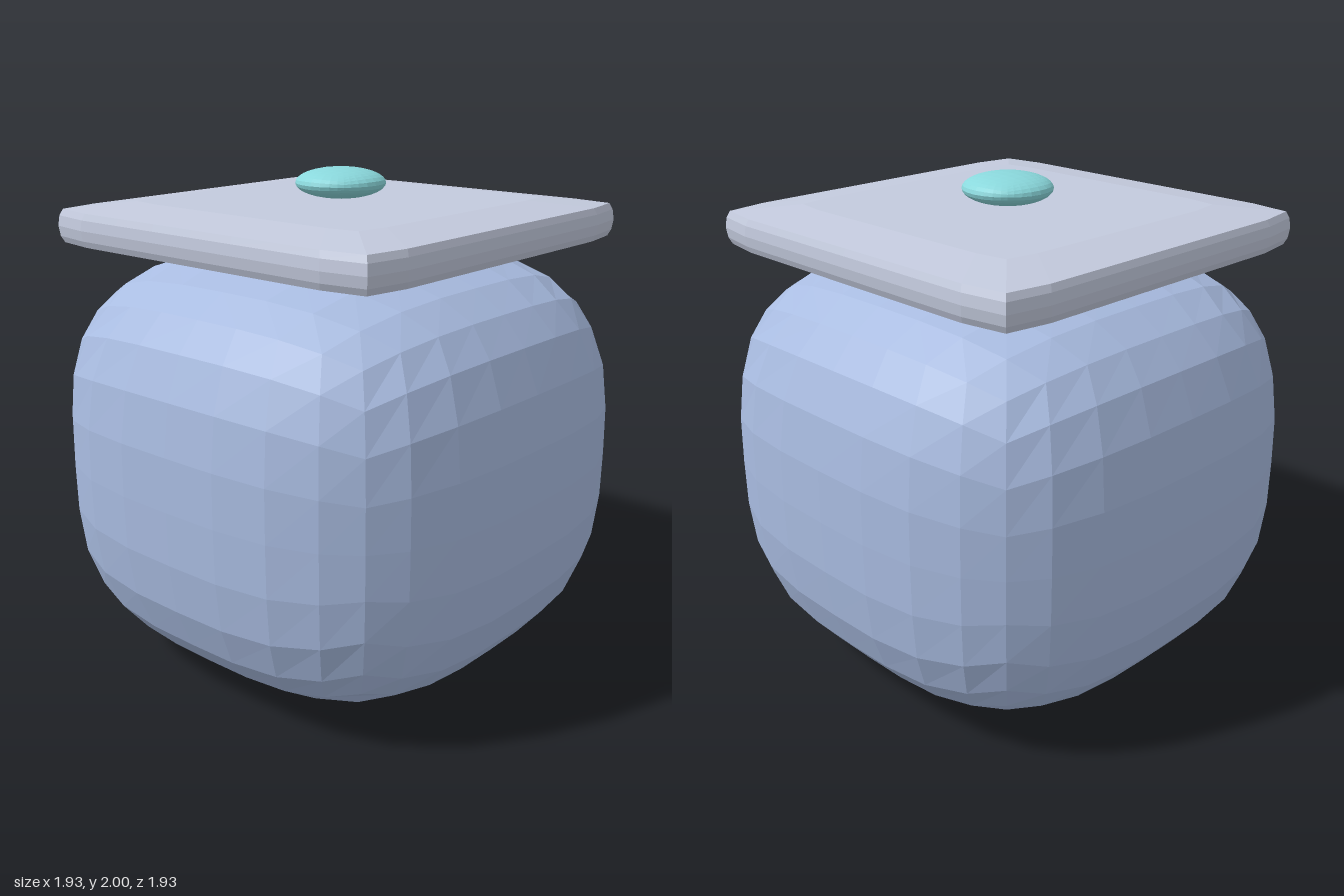
import * as THREE from 'three';

const flat = (name, hex) => {
  const m = new THREE.MeshStandardMaterial({ color: hex, flatShading: true });
  m.name = name;
  return m;
};

// Cube grid pulled onto a superellipsoid: power 2 is a ball, higher is boxier
function superellipsoid(rx, ry, rz, power, segments) {
  const geo = new THREE.BoxGeometry(2, 2, 2, segments, segments, segments);
  const p = geo.attributes.position;
  for (let i = 0; i < p.count; i++) {
    const v = [p.getX(i), p.getY(i), p.getZ(i)];
    const len = v.reduce((s, c) => s + Math.abs(c) ** power, 0) ** (1 / power);
    p.setXYZ(i, (v[0] / len) * rx, (v[1] / len) * ry, (v[2] / len) * rz);
  }
  geo.computeVertexNormals();
  return geo;
}

// Square outline with slightly bowed sides, 8 points per side, anticlockwise from above
function squareLoop(half, y, power) {
  const pts = [];
  const corners = [[1, 1], [1, -1], [-1, -1], [-1, 1]];
  corners.forEach(([ax, az], k) => {
    const [bx, bz] = corners[(k + 1) % 4];
    for (let i = 0; i < 8; i++) {
      const x = ax + ((bx - ax) * i) / 8, z = az + ((bz - az) * i) / 8;
      const len = (Math.abs(x) ** power + Math.abs(z) ** power) ** (1 / power);
      pts.push([(x / len) * half, y, (z / len) * half]);
    }
  });
  return pts;
}

// Skin over loops from bottom to top, closed with fans at both ends
function loft(loops) {
  const n = loops[0].length, index = [], pos = loops.flat(2);
  for (let r = 0; r < loops.length - 1; r++) {
    for (let i = 0; i < n; i++) {
      const a = r * n + i, b = r * n + ((i + 1) % n);
      index.push(a, b, b + n, a, b + n, a + n);
    }
  }
  const bottom = pos.length / 3, top = bottom + 1, last = (loops.length - 1) * n;
  pos.push(0, loops[0][0][1], 0, 0, loops[loops.length - 1][0][1], 0);
  for (let i = 0; i < n; i++) {
    const j = (i + 1) % n;
    index.push(bottom, j, i, top, last + i, last + j);
  }
  const geo = new THREE.BufferGeometry();
  geo.setAttribute('position', new THREE.Float32BufferAttribute(pos, 3));
  geo.setIndex(index);
  geo.computeVertexNormals();
  return geo;
}

export function createModel() {
  const group = new THREE.Group();
  const add = (name, geo, mat, y) => {
    const mesh = new THREE.Mesh(geo, mat);
    mesh.name = name;
    mesh.position.y = y;
    group.add(mesh);
  };

  // Puffy rounded-cube body
  add('body', superellipsoid(0.967, 0.845, 0.967, 3.2, 8), flat('soft blue', 0xa9bce1), 0.847);

  // Square lid, flat in the middle and thinning towards a rounded rim
  const profile = [[0.58, 0.092], [0.79, 0.065], [0.801, 0.04], [0.806, 0]];
  const upper = profile.map(([h, y]) => squareLoop(h, y, 20));
  const lower = profile.slice(0, -1).map(([h, y]) => squareLoop(h, -y, 20));
  add('lid', loft([...lower, ...upper.reverse()]), flat('pale grey', 0xc3cadd), 1.783);

  // Flattened knob above the lid
  add('knob', superellipsoid(0.178, 0.06, 0.178, 2, 8), flat('aqua', 0x8ad8dc), 1.94);

  return group;
}
